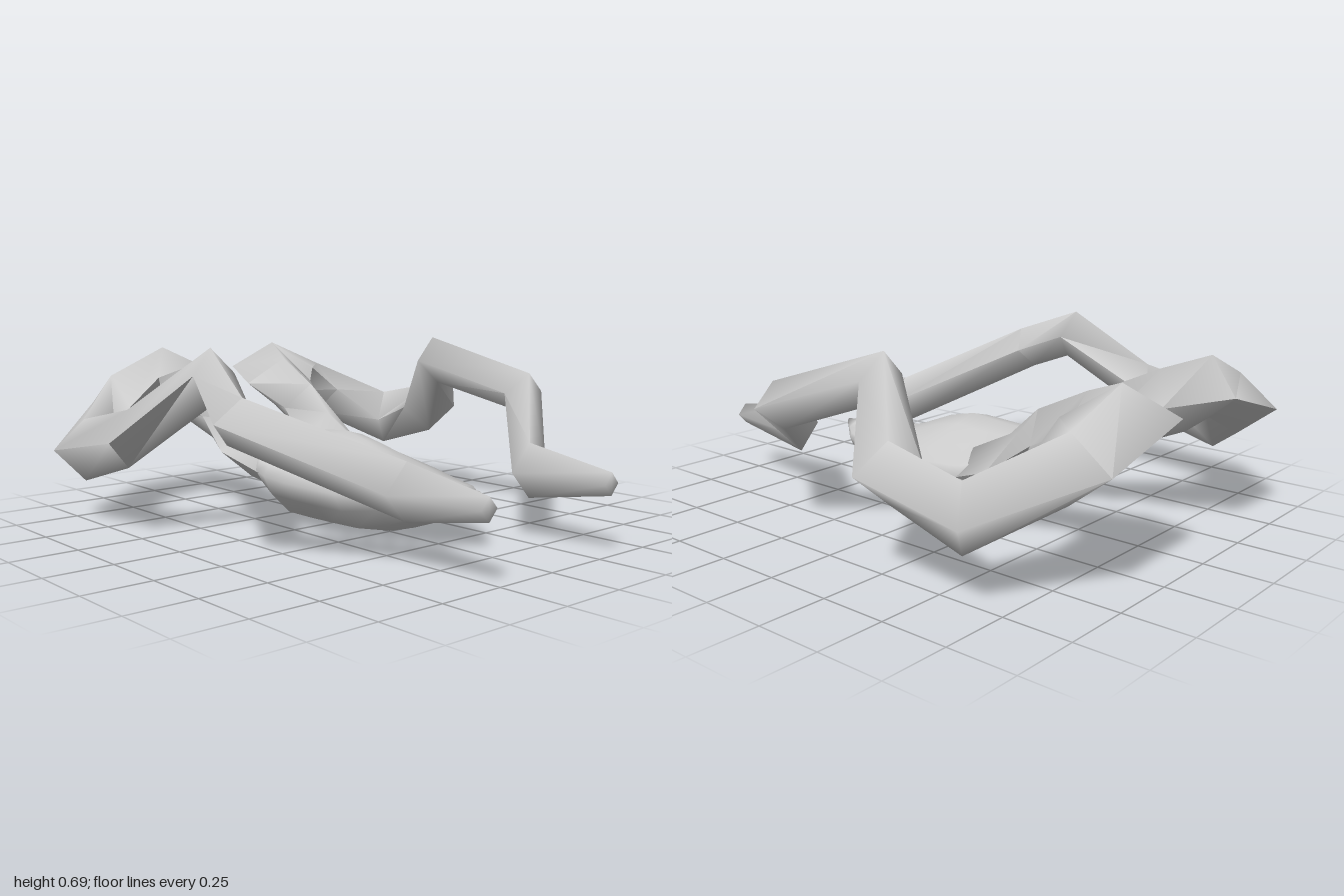
import * as THREE from 'three';
import { toCreasedNormals } from 'three/addons/utils/BufferGeometryUtils.js';

const material = new THREE.MeshStandardMaterial({ color: 0xcccccc });
const V = (x, y, z) => new THREE.Vector3(x, y, z);

// Skin a list of equal rings (counter-clockwise around the direction of travel), closed at both ends
function skin(rings, name) {
  const n = rings[0].length, pos = [];
  const tri = (...p) => p.forEach(v => pos.push(v.x, v.y, v.z));
  for (let i = 0; i < rings.length - 1; i++) {
    for (let j = 0; j < n; j++) {
      const k = (j + 1) % n, a = rings[i], b = rings[i + 1];
      tri(a[j], a[k], b[j]);
      tri(a[k], b[k], b[j]);
    }
  }
  const centre = r => r.reduce((s, p) => s.add(p), V(0, 0, 0)).divideScalar(n);
  const first = rings[0], last = rings[rings.length - 1];
  const c0 = centre(first), c1 = centre(last);
  for (let j = 0; j < n; j++) {
    const k = (j + 1) % n;
    tri(c0, first[k], first[j]);
    tri(c1, last[j], last[k]);
  }
  const g = new THREE.BufferGeometry();
  g.setAttribute('position', new THREE.Float32BufferAttribute(pos, 3));
  const mesh = new THREE.Mesh(toCreasedNormals(g, 1.75), material);
  mesh.name = name;
  return mesh;
}

// Tapered four-sided limb, diamond in section.
// Each joint is [x, y, z, half width, half height, heading x, heading z]; the section is upright
// across its heading, or mitred between its neighbours where no heading is given.
function limb(joints, mirror, name) {
  const pts = joints.map(([x, y, z]) => V(mirror * x, y, z));
  const dirs = pts.slice(1).map((p, i) => p.clone().sub(pts[i]).normalize());
  const rings = joints.map(([, , , w, h, hx, hz], i) => {
    const t = hx === undefined
      ? dirs[Math.max(i - 1, 0)].clone().add(dirs[Math.min(i, dirs.length - 1)]).normalize()
      : V(mirror * hx, 0, hz).normalize();
    const up = V(0, 1, 0).addScaledVector(t, -t.y).normalize();
    const side = t.clone().cross(up);
    return [[up, h], [side, w], [up, -h], [side, -w]].map(([d, r]) => pts[i].clone().addScaledVector(d, r));
  });
  return skin(rings, name);
}

export function createModel() {
  const model = new THREE.Group();

  // Body: keel-shaped cross-sections [z, half width, top, rim height, bottom]
  const sections = [
    [-0.36, 0.10, 0.33, 0.29, 0.25],
    [-0.27, 0.26, 0.335, 0.26, 0.135],
    [-0.18, 0.295, 0.34, 0.23, 0.065],
    [-0.12, 0.30, 0.345, 0.22, 0.003],
    [0, 0.295, 0.355, 0.21, 0.003],
    [0.11, 0.285, 0.33, 0.205, 0.003],
    [0.25, 0.27, 0.275, 0.20, 0.005],
    [0.38, 0.21, 0.235, 0.20, 0.04],
    [0.55, 0.13, 0.225, 0.20, 0.10],
    [0.63, 0.06, 0.222, 0.20, 0.145],
    [0.69, 0.01, 0.22, 0.21, 0.20],
  ];
  // Half outline: [share of width, share of the way from rim to top (+) or bottom (-)]
  const half = [[0.3, 0.83], [0.6, 0.5], [0.92, 0.12], [1, -0.12], [0.88, -0.45], [0.6, -0.82]];
  const outline = [
    [0, -1],
    ...half.slice().reverse(),
    [0, 1],
    ...half.map(([x, y]) => [-x, y]),
  ];
  model.add(skin(sections.map(([z, w, top, rim, bottom]) =>
    outline.map(([x, y]) => V(x * w, rim + (y > 0 ? y * (top - rim) : y * (rim - bottom)), z))
  ), 'body'));

  // Shallow round socket under the rear of the body
  const socketProfile = [[0.1, -0.05], [0.085, 0.0], [0.065, 0.025], [0.052, 0.02], [0.045, 0.008], [0, 0.006]];
  const socket = new THREE.Mesh(
    new THREE.LatheGeometry(socketProfile.map(p => new THREE.Vector2(...p)), 8),
    new THREE.MeshStandardMaterial({ color: 0xcccccc, side: THREE.DoubleSide })
  );
  socket.name = 'rearSocket';
  socket.position.set(0, 0.125, -0.238);
  socket.rotation.x = -2.3;
  model.add(socket);

  // Folded legs, from the hip inside the body to the pointed foot
  const legJoints = [
    [0.17, 0.18, -0.10, 0.11, 0.08, 0, -1],
    [0.20, 0.265, -0.34, 0.14, 0.11, 0, -1],
    [0.215, 0.385, -0.52, 0.097, 0.115],
    [0.24, 0.475, -0.725, 0.15, 0.12],
    [0.288, 0.533, -0.843, 0.19, 0.112, 0.31, -0.23],
    [0.54, 0.425, -0.83, 0.15, 0.115, 1, 0],
    [0.775, 0.285, -0.615, 0.116, 0.118, 0.13, 0.19],
    [0.765, 0.36, -0.305, 0.118, 0.105, -0.11, 0.21],
    [0.553, 0.595, -0.065, 0.093, 0.095],
    [0.71, 0.475, 0.28, 0.095, 0.087],
    [0.305, 0.25, 0.65, 0.093, 0.1, 0, 1],
    [0.305, 0.25, 1.0, 0.036, 0.04],
  ];
  model.add(limb(legJoints, 1, 'leftLeg'), limb(legJoints, -1, 'rightLeg'));
  return model;
}
